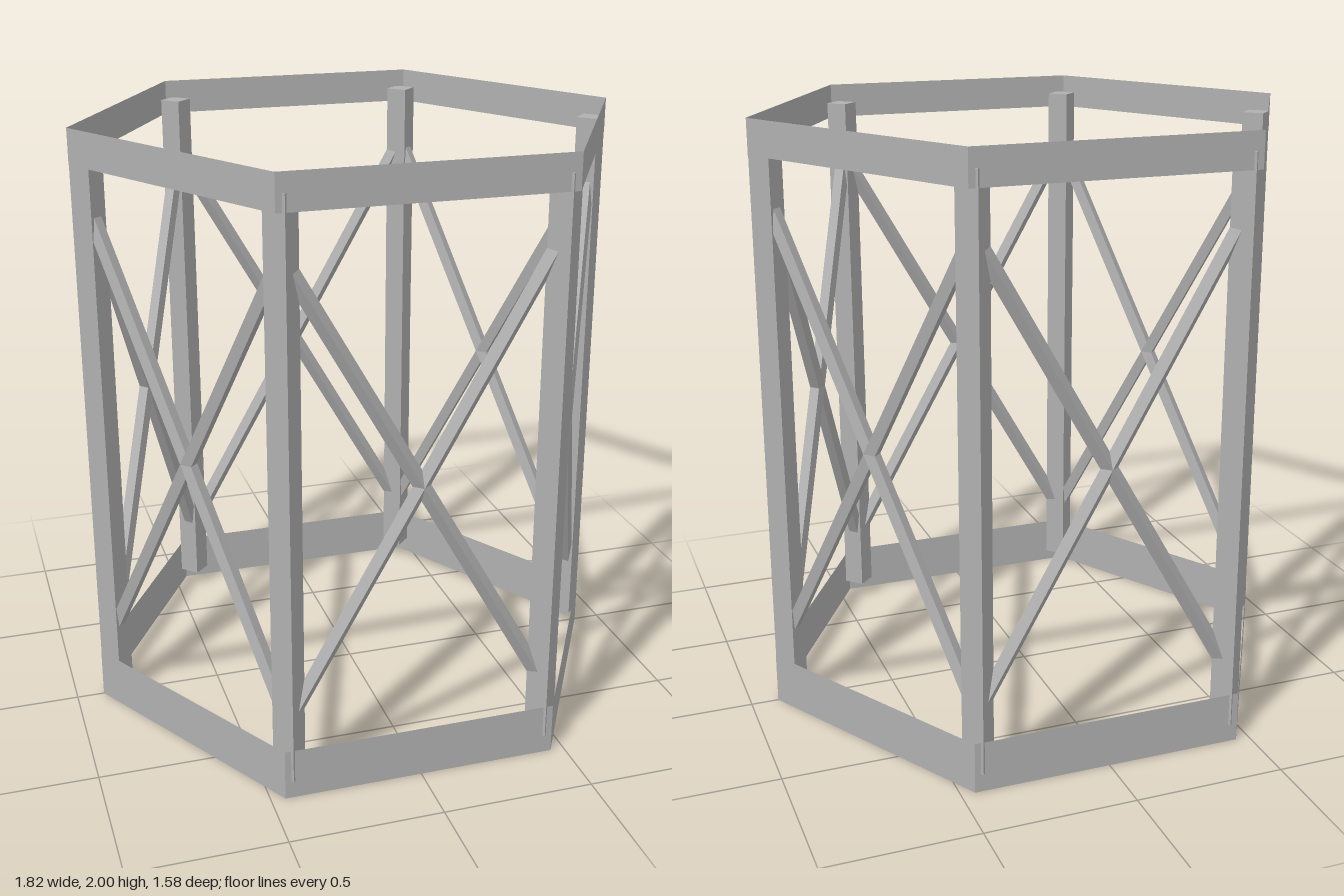
import * as THREE from 'three';

// Six-sided lattice tower: two thin hoops, six square posts and crossed braces.
export function createModel() {
  const model = new THREE.Group();
  const steel = new THREE.MeshStandardMaterial({ color: 0xb0b0b0, flatShading: true });
  const sheet = new THREE.MeshStandardMaterial({ color: 0xb0b0b0, flatShading: true, side: THREE.DoubleSide });
  sheet.name = 'greySheet';
  steel.name = 'greySteel';

  const corner = (i, y) => {
    const a = (i * Math.PI) / 3;
    return new THREE.Vector3(0.855 * Math.cos(a), y, 0.855 * Math.sin(a));
  };

  // Four-sided bar between two points
  function bar(name, from, to, radius) {
    const dir = to.clone().sub(from);
    const mesh = new THREE.Mesh(new THREE.CylinderGeometry(radius, radius, dir.length(), 4), steel);
    mesh.name = name;
    mesh.position.copy(from).add(to).multiplyScalar(0.5);
    mesh.quaternion.setFromUnitVectors(new THREE.Vector3(0, 1, 0), dir.normalize());
    model.add(mesh);
  }

  // Thin open hexagonal hoop with corners on the posts
  function hoop(name, y0, y1) {
    const geo = new THREE.CylinderGeometry(0.908, 0.908, y1 - y0, 6, 1, true);
    geo.rotateY(Math.PI / 6);
    const mesh = new THREE.Mesh(geo, sheet);
    mesh.name = name;
    mesh.position.y = (y0 + y1) / 2;
    model.add(mesh);
  }

  hoop('bottomHoop', 0, 0.17);
  hoop('topHoop', 1.885, 2);

  // Posts and the crossed braces of each bay
  for (let i = 0; i < 6; i++) {
    bar('post', corner(i, 0.06), corner(i, 1.94), 0.052);
    bar('brace', corner(i, 0.25), corner(i + 1, 1.75), 0.026);
    bar('brace', corner(i + 1, 0.25), corner(i, 1.75), 0.026);
  }
  return model;
}
